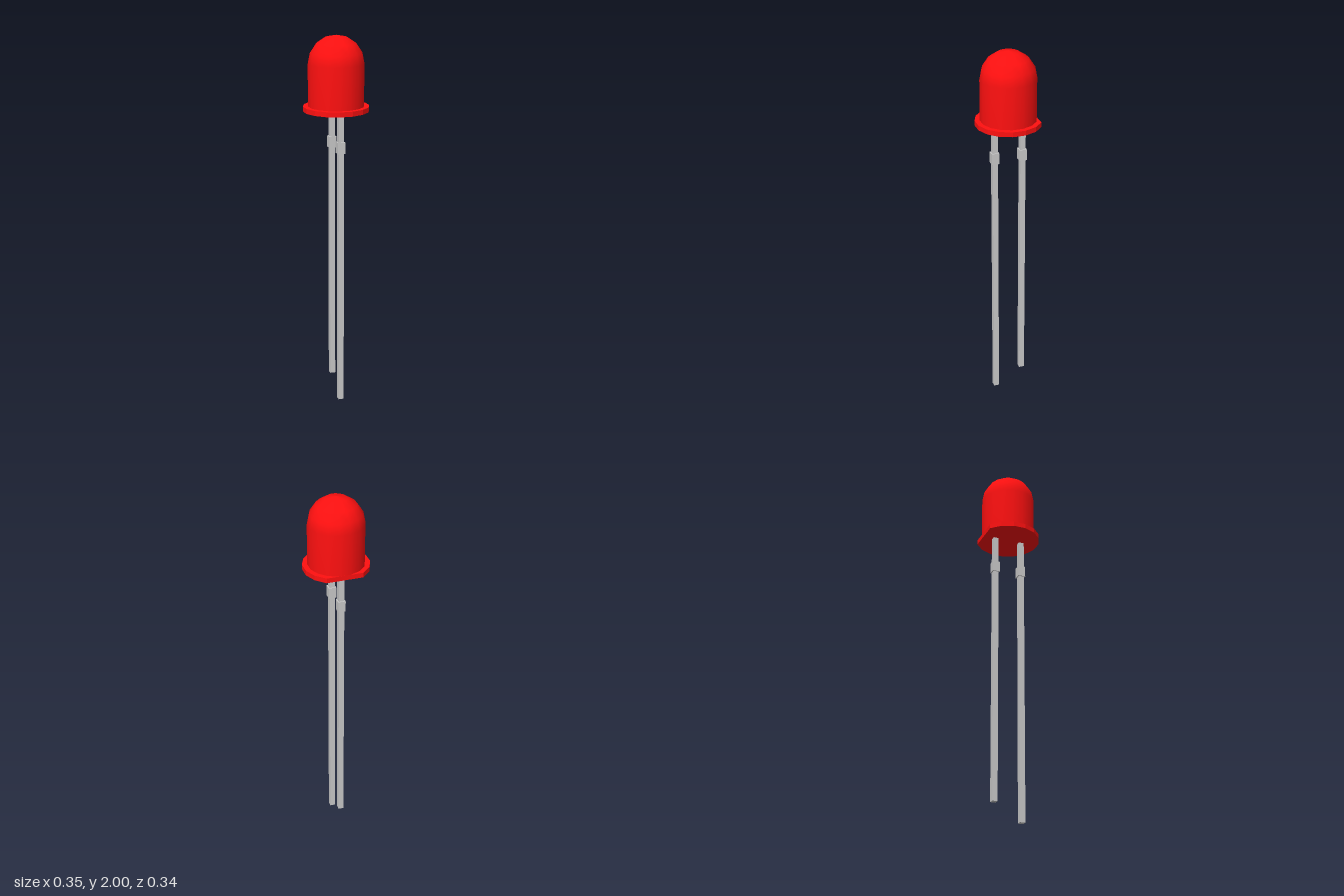
import * as THREE from 'three';

const SIDES = 16;
const STEP = (Math.PI * 2) / SIDES;

export function createModel() {
  const group = new THREE.Group();
  const red = new THREE.MeshStandardMaterial({ color: 0xff1010 });
  const metal = new THREE.MeshStandardMaterial({ color: 0xcccccc });

  const add = (parent, name, geometry, material, x = 0, y = 0, z = 0) => {
    const mesh = new THREE.Mesh(geometry, material);
    mesh.name = name;
    mesh.position.set(x, y, z);
    parent.add(mesh);
    return mesh;
  };

  // Whole lamp is turned slightly about its upright axis
  const lamp = new THREE.Group();
  lamp.name = 'lamp';
  lamp.rotation.y = THREE.MathUtils.degToRad(-14.7);
  lamp.position.set(-0.001, 0, -0.005);
  group.add(lamp);

  // Lens: straight wall running into a hemisphere
  const radius = 0.147;
  const shoulder = 2 - radius;
  const profile = [new THREE.Vector2(radius, 1.62)];
  for (let i = 0; i <= 4; i++) {
    const a = (i / 4) * (Math.PI / 2);
    profile.push(new THREE.Vector2(i === 4 ? 0 : radius * Math.cos(a), shoulder + radius * Math.sin(a)));
  }
  add(lamp, 'lens', new THREE.LatheGeometry(profile, SIDES, STEP / 2), red);

  // Flange: 16-sided disc with two corners cut away to leave a flat
  const rim = [];
  for (let i = 0; i < SIDES - 2; i++) {
    const a = Math.PI / 2 + (i + 1.5) * STEP;
    rim.push(new THREE.Vector2(0.174 * Math.cos(a), 0.174 * Math.sin(a)));
  }
  const flange = new THREE.ExtrudeGeometry(new THREE.Shape(rim), { depth: 0.026, bevelEnabled: false });
  flange.rotateX(-Math.PI / 2);
  add(lamp, 'flange', flange, red, 0, 1.606, 0);

  // Two square leads of unequal length, each with a stop collar
  const leadTop = 1.61;
  for (const [name, z, bottom] of [['longLead', 0.0755, 0], ['shortLead', -0.0755, 0.094]]) {
    const lead = new THREE.Group();
    lead.name = name;
    lead.position.z = z;
    lamp.add(lead);
    add(lead, name + 'Wire', new THREE.BoxGeometry(0.029, leadTop - bottom, 0.029), metal, 0, (leadTop + bottom) / 2, 0);
    add(lead, name + 'Collar', new THREE.BoxGeometry(0.04, 0.06, 0.04), metal, 0, 1.425, 0);
  }

  return group;
}
